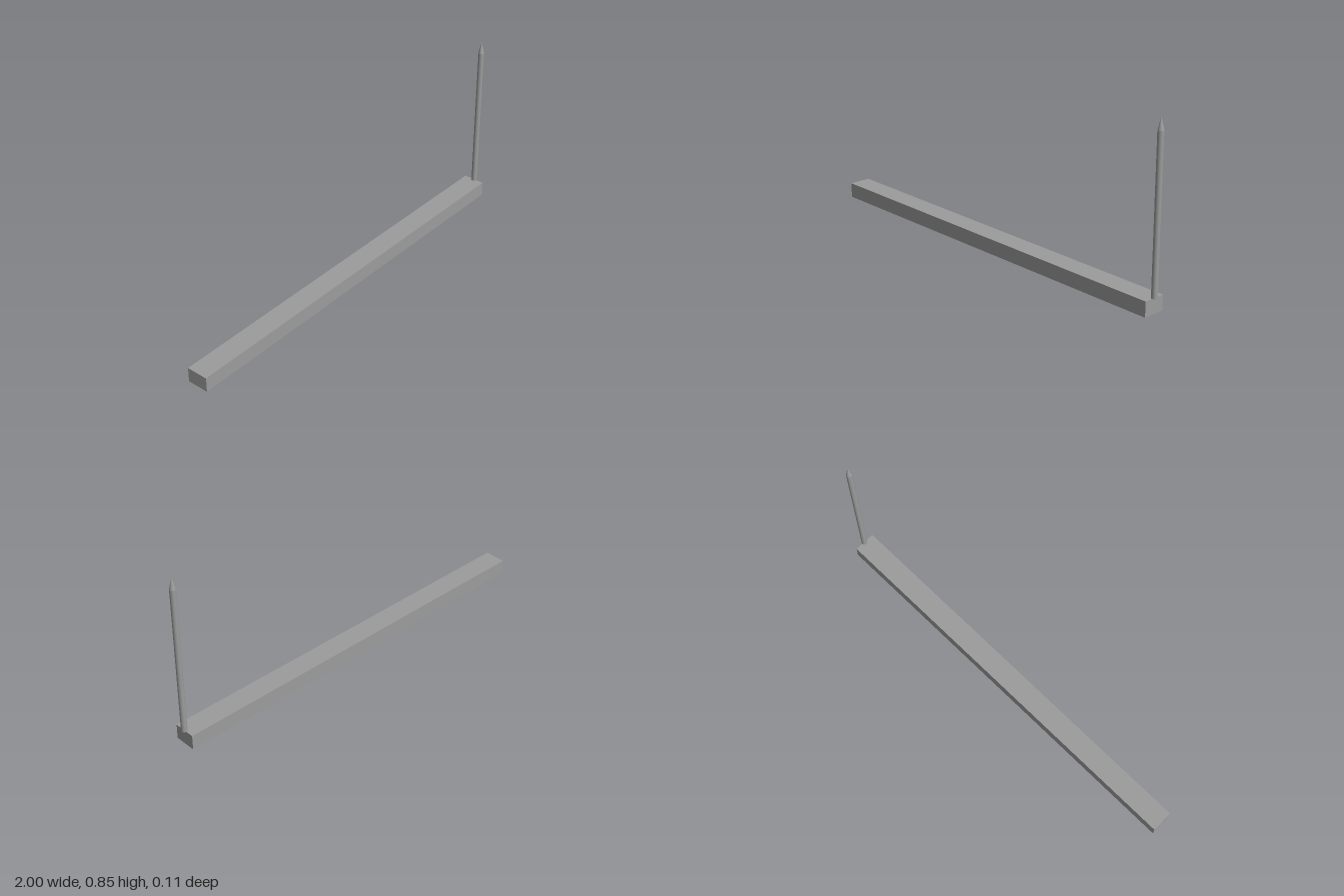
import * as THREE from 'three';

const BEAM = { length: 1.986, height: 0.072, depth: 0.106 };
const POST = { radius: 0.014, height: 0.718, tip: 0.057, sides: 16 };

export function createModel() {
  const model = new THREE.Group();
  const material = new THREE.MeshStandardMaterial({ color: 0x9c9c9c });

  function add(name, geometry, x, y, parent = model) {
    const mesh = new THREE.Mesh(geometry, material);
    mesh.name = name;
    mesh.position.set(x, y, 0);
    parent.add(mesh);
  }

  // Long beam lying on the ground
  add('beam', new THREE.BoxGeometry(BEAM.length, BEAM.height, BEAM.depth),
    -1 + BEAM.length / 2, BEAM.height / 2);

  // Thin pointed post centred on the beam's left end, overhanging it by half
  const post = new THREE.Group();
  post.name = 'post';
  post.position.set(-1 + BEAM.length, BEAM.height, 0);
  model.add(post);
  add('postShaft', new THREE.CylinderGeometry(POST.radius, POST.radius, POST.height, POST.sides),
    0, POST.height / 2, post);
  add('postTip', new THREE.ConeGeometry(POST.radius, POST.tip, POST.sides, 1, true),
    0, POST.height + POST.tip / 2, post);

  return model;
}
